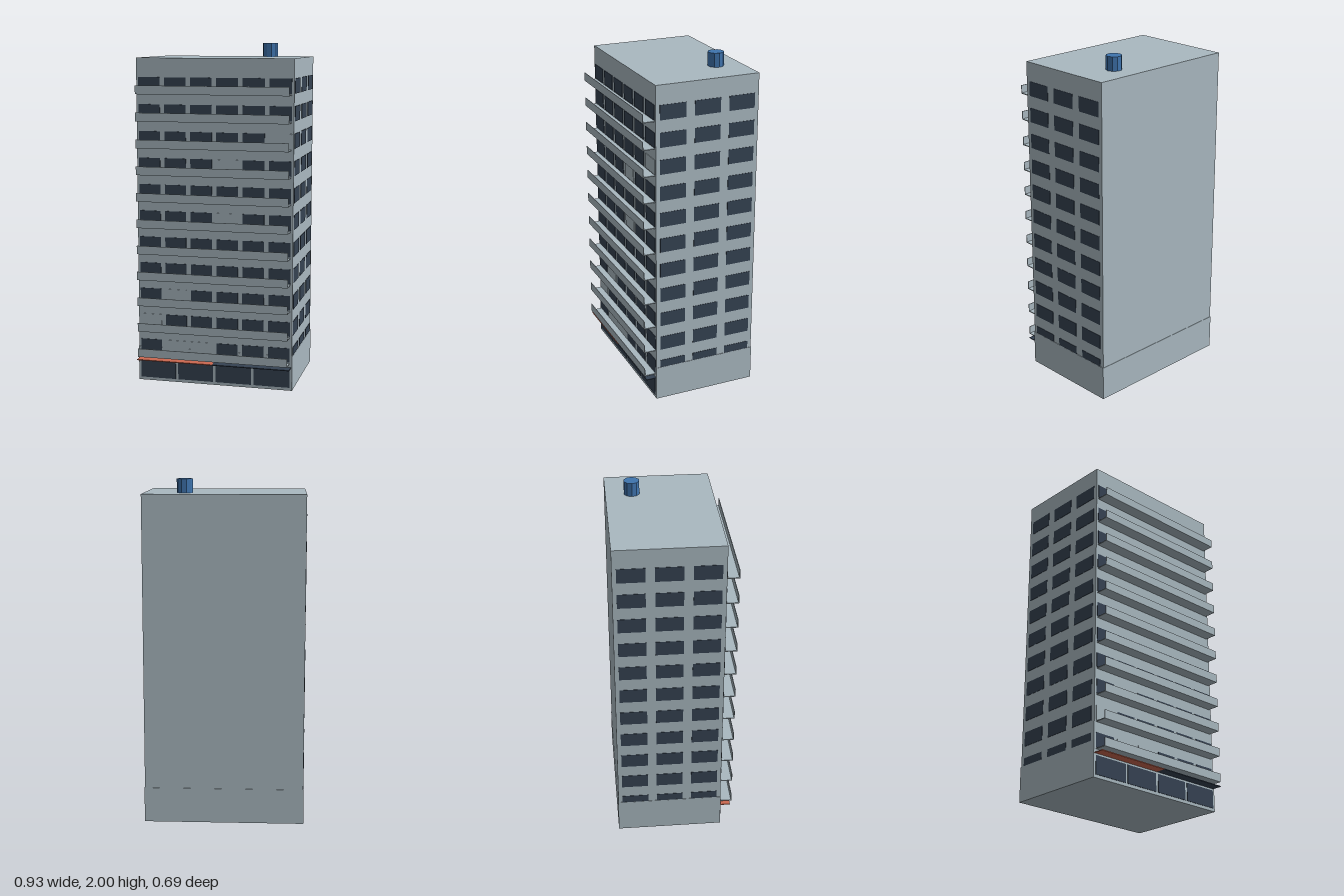
import * as THREE from 'three';

const mat = (name, color) => {
  const m = new THREE.MeshStandardMaterial({ color });
  m.name = name;
  return m;
};

export function createModel() {
  const wall = mat('concrete', 0xa9b8c0);
  const glass = mat('darkGlass', 0x354252);
  const red = mat('awningRed', 0xcb6850);
  const blue = mat('tankBlue', 0x3f74ae);

  const model = new THREE.Group();
  model.name = 'apartmentBlock';

  // box given by its min and max along each axis
  const box = (name, m, [x0, x1], [y0, y1], [z0, z1], parent = model) => {
    const mesh = new THREE.Mesh(new THREE.BoxGeometry(x1 - x0, y1 - y0, z1 - z0), m);
    mesh.position.set((x0 + x1) / 2, (y0 + y1) / 2, (z0 + z1) / 2);
    mesh.name = name;
    parent.add(mesh);
  };

  // tower and the slightly wider ground floor
  const W = 0.464, BACK = -0.344, FRONT = 0.275;
  box('tower', wall, [-W, W], [0.1, 1.92], [BACK, FRONT]);
  box('groundFloor', wall, [-W - 0.003, W + 0.003], [0, 0.207], [BACK - 0.002, FRONT + 0.002]);

  // front windows closed by wall-coloured shutters, keyed by floor from the top
  const shuttered = { 2: [5], 3: [3], 5: [3], 8: [1], 9: [0], 10: [1, 2] };
  const FLOORS = 11, STEP = 0.1555;

  for (let f = 0; f < FLOORS; f++) {
    const floor = new THREE.Group();
    floor.name = `floor${FLOORS - f}`;
    model.add(floor);
    const top = 1.809 - f * STEP, bottom = top - 0.085;

    // front windows
    for (let i = 0; i < 6; i++) {
      const x = -0.3875 + i * 0.155;
      const closed = shuttered[f]?.includes(i);
      box(closed ? 'shutter' : 'frontWindow', closed ? wall : glass,
        [x - 0.064, x + 0.064], [bottom, top], [FRONT - 0.002, FRONT + 0.003], floor);
    }

    // side windows on both sides
    for (const s of [-1, 1]) {
      for (let i = 0; i < 3; i++) {
        const z = 0.173 - i * 0.2075;
        const x = s * W;
        box('sideWindow', glass, [x - 0.002, x + 0.002], [bottom, top], [z - 0.078, z + 0.078], floor);
      }
    }

    // balcony with open ends: thin slab and front parapet
    const y = 1.714 - f * STEP;
    box('balconySlab', wall, [-0.45, 0.45], [y, y + 0.005], [FRONT, 0.346], floor);
    box('balconyParapet', wall, [-0.45, 0.45], [y, y + 0.05], [0.342, 0.346], floor);
  }

  // shop windows, each under a flat awning
  for (let i = 0; i < 4; i++) {
    const x = -0.345 + i * 0.23;
    box('shopWindow', glass, [x - 0.107, x + 0.107], [0.018, 0.124], [FRONT, FRONT + 0.005]);
    box('awning', i < 2 ? red : glass, [x - 0.115, x + 0.115], [0.135, 0.14], [FRONT, 0.336]);
  }

  // roof water tank
  const tank = new THREE.Mesh(new THREE.CylinderGeometry(0.046, 0.046, 0.085, 10), blue);
  tank.material.flatShading = true;
  tank.rotation.y = Math.PI / 2;
  tank.position.set(0.23, 1.9575, -0.192);
  tank.name = 'waterTank';
  model.add(tank);

  return model;
}
